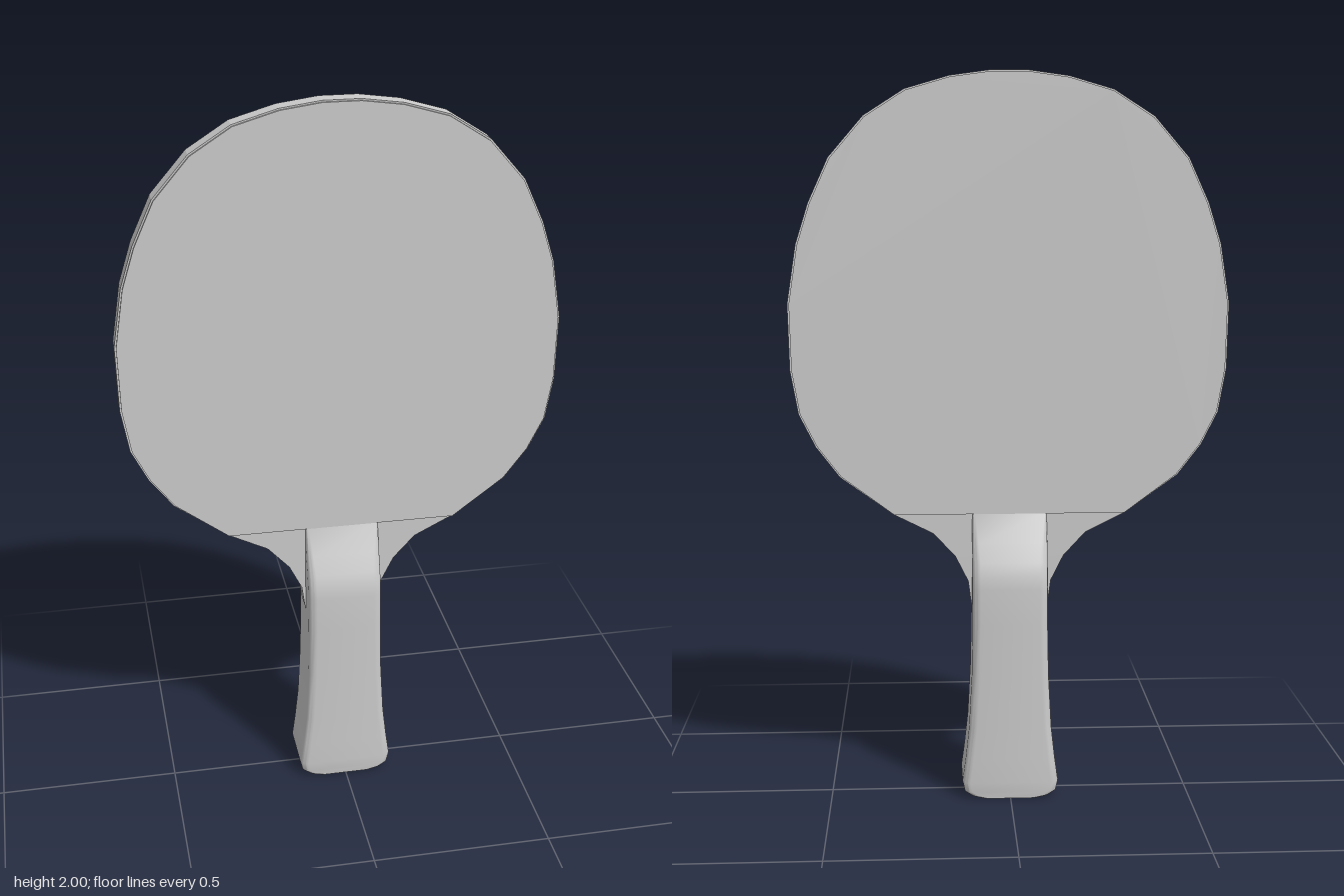
import * as THREE from 'three';
import { toCreasedNormals } from 'three/addons/utils/BufferGeometryUtils.js';

const grey = new THREE.MeshStandardMaterial({ color: 0xcccccc });

// Right half of the head outline, from the top down to the rubber's lower edge
const head = [
  [0.05, 2], [0.16, 1.985], [0.28, 1.95], [0.39, 1.88], [0.485, 1.77], [0.54, 1.65], [0.575, 1.54],
  [0.6, 1.38], [0.596, 1.2], [0.575, 1.08], [0.53, 0.99], [0.465, 0.905], [0.32, 0.8],
];
// Neck of the blade, curving in and vanishing inside the handle
const neck = [[0.21, 0.745], [0.15, 0.68], [0.115, 0.61], [0.107, 0.55], [0.09, 0.48]];

// Symmetric outline extruded along z from z0 to z1
function plate(name, half, z0, z1) {
  const mirrored = half.map(([x, y]) => [-x, y]).reverse();
  const shape = new THREE.Shape([...half, ...mirrored].map(([x, y]) => new THREE.Vector2(x, y)));
  const geo = new THREE.ExtrudeGeometry(shape, { depth: z1 - z0, bevelEnabled: false });
  geo.translate(0, 0, z0);
  const mesh = new THREE.Mesh(geo, grey);
  mesh.name = name;
  return mesh;
}

// Rounded rectangle in the xz plane
function ring(w, d, r, steps = 4) {
  const pts = [];
  [[1, 1], [-1, 1], [-1, -1], [1, -1]].forEach(([sx, sz], q) => {
    for (let i = 0; i <= steps; i++) {
      const a = (q + i / steps) * Math.PI / 2;
      pts.push([sx * (w - r) + r * Math.cos(a), sz * (d - r) + r * Math.sin(a)]);
    }
  });
  return pts;
}

// Handle lofted through rounded rectangles: [height, half width, half depth]
function makeHandle() {
  const sections = [
    [0, 0.085, 0.091], [0.006, 0.11, 0.091], [0.018, 0.128, 0.091], [0.045, 0.134, 0.091],
    [0.11, 0.125, 0.091], [0.2, 0.115, 0.091], [0.35, 0.107, 0.091], [0.5, 0.104, 0.091],
    [0.6, 0.104, 0.091], [0.635, 0.104, 0.088], [0.67, 0.104, 0.078], [0.72, 0.104, 0.058], [0.8, 0.103, 0.029],
  ];
  const pos = [], idx = [];
  const n = ring(1, 1, 0.1).length;
  for (const [y, w, d] of sections) {
    for (const [x, z] of ring(w, d, Math.min(0.022, d * 0.3))) pos.push(x, y, z);
  }
  for (let s = 0; s < sections.length - 1; s++) {
    for (let k = 0; k < n; k++) {
      const a = s * n + k, b = s * n + (k + 1) % n;
      idx.push(a, a + n, b, b, a + n, b + n);
    }
  }
  // End caps
  const top = (sections.length - 1) * n;
  for (let k = 1; k < n - 1; k++) idx.push(0, k, k + 1, top, top + k + 1, top + k);
  const geo = new THREE.BufferGeometry();
  geo.setAttribute('position', new THREE.Float32BufferAttribute(pos, 3));
  geo.setIndex(idx);
  const mesh = new THREE.Mesh(toCreasedNormals(geo, 0.6), grey);
  mesh.name = 'handle';
  return mesh;
}

export function createModel() {
  const group = new THREE.Group();
  group.name = 'tableTennisBat';
  group.add(plate('blade', [...head, ...neck], -0.025, 0.025));

  // Rubber sheets, slightly inset from the blade's rim
  const sheet = head.map(([x, y]) => [x * 0.992, y > 0.8 ? 1.3 + (y - 1.3) * 0.994 : y]);
  group.add(plate('frontRubber', sheet, 0.025, 0.031));
  group.add(plate('backRubber', sheet, -0.031, -0.025));

  group.add(makeHandle());
  return group;
}
